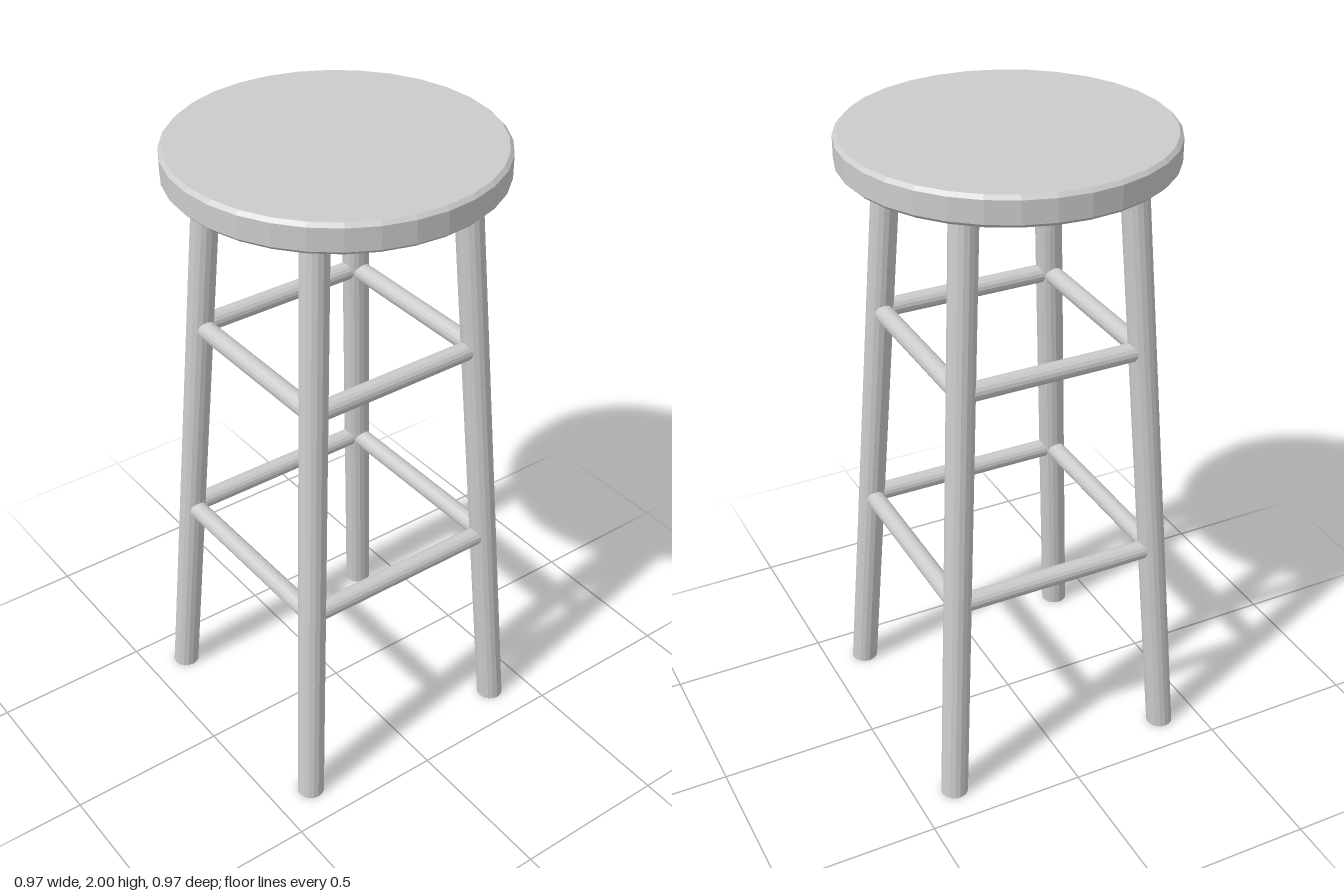
import * as THREE from 'three';

export function createModel() {
  const stool = new THREE.Group();
  stool.name = 'stool';
  const solid = new THREE.MeshStandardMaterial({ color: 0xcccccc, flatShading: true });
  const tube = new THREE.MeshStandardMaterial({ color: 0xcccccc, flatShading: true, side: THREE.DoubleSide });

  const add = (name, geometry, material) => {
    const mesh = new THREE.Mesh(geometry, material);
    mesh.name = name;
    stool.add(mesh);
    return mesh;
  };

  // Round seat with a small bevel on both rims
  const seatBottom = 1.91, seatTop = 2, seatRadius = 0.486, bevel = 0.011;
  const profile = [
    [0, seatBottom], [seatRadius - bevel, seatBottom], [seatRadius, seatBottom + bevel],
    [seatRadius, seatTop - bevel], [seatRadius - bevel, seatTop], [0, seatTop],
  ].map(([r, y]) => new THREE.Vector2(r, y));
  add('seat', new THREE.LatheGeometry(profile, 32), solid);

  // Distance of a leg's axis from the centre planes at height y
  const legOffset = (y) => 0.373 - 0.0605 * y;

  // Four splayed open tubes, sheared so the feet lie flat on the floor
  const legHeight = 1.92;
  for (const [side, sx] of [['Left', 1], ['Right', -1]]) {
    for (const [end, sz] of [['front', 1], ['back', -1]]) {
      const leg = new THREE.CylinderGeometry(0.042, 0.042, legHeight, 16, 1, true);
      leg.translate(0, legHeight / 2, 0);
      const p = leg.attributes.position;
      for (let i = 0; i < p.count; i++) {
        const offset = legOffset(p.getY(i));
        p.setX(i, p.getX(i) + sx * offset);
        p.setZ(i, p.getZ(i) + sz * offset);
      }
      leg.computeVertexNormals();
      add(`${end}${side}Leg`, leg, tube);
    }
  }

  // Two levels of rungs, each a square between the leg axes
  for (const [level, y] of [['lower', 0.685], ['upper', 1.37]]) {
    const offset = legOffset(y);
    ['Front', 'Left', 'Back', 'Right'].forEach((side, i) => {
      const rung = new THREE.CylinderGeometry(0.029, 0.029, offset * 2, 16);
      rung.rotateZ(Math.PI / 2);
      rung.translate(0, y, offset);
      rung.rotateY(i * Math.PI / 2);
      add(`${level}${side}Rung`, rung, solid);
    });
  }

  return stool;
}
